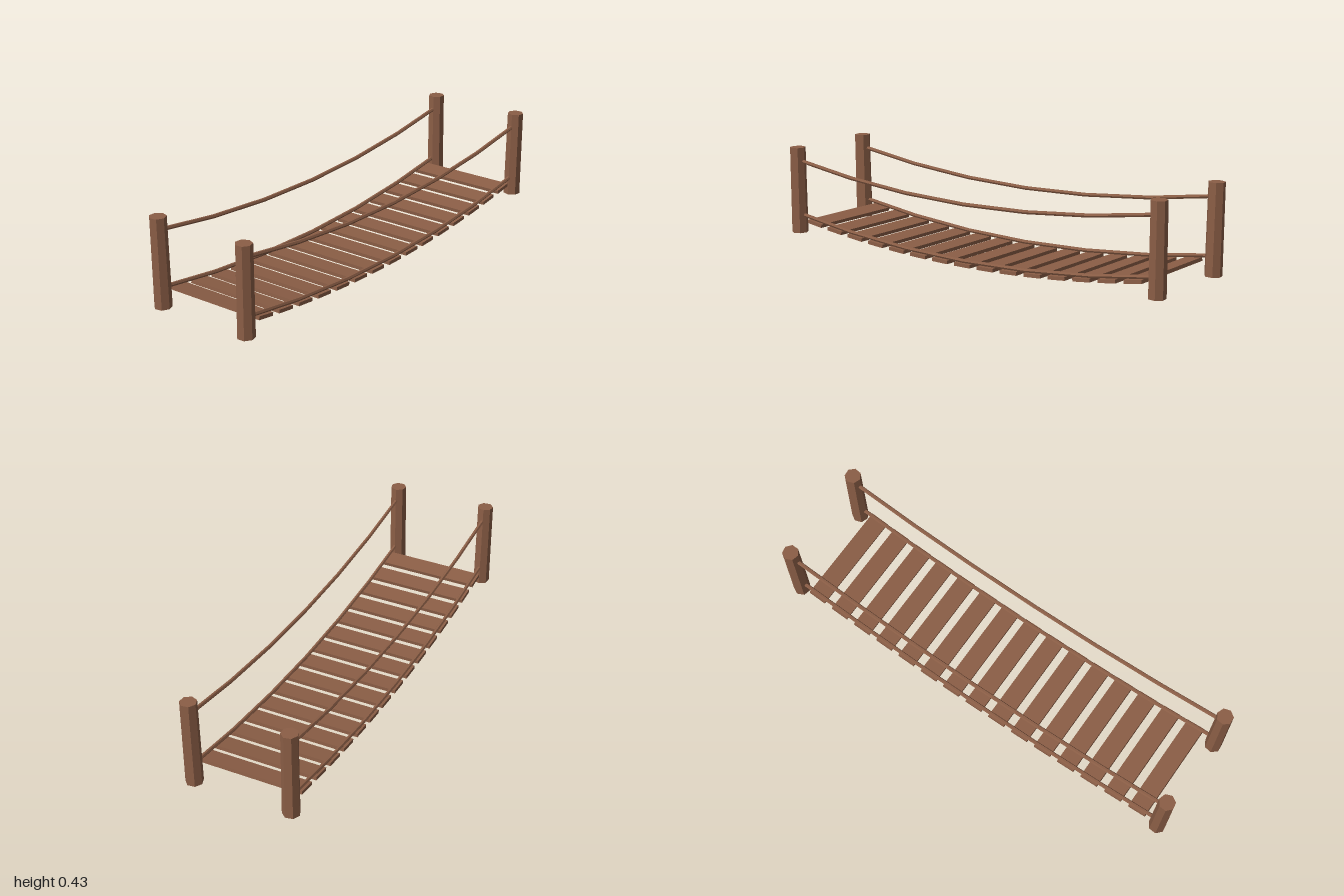
import * as THREE from 'three';

const HALF_LENGTH = 0.985;
const HALF_WIDTH = 0.227;

// Height and slope of a hanging rope along the bridge
const sag = (z, low, rise) => low + rise * (z / HALF_LENGTH) ** 2;
const slope = (z, rise) => (2 * rise * z) / HALF_LENGTH ** 2;

export function createModel() {
  const wood = new THREE.MeshStandardMaterial({ color: 0x8b5e46, flatShading: true });
  wood.name = 'brown wood';

  const model = new THREE.Group();
  model.name = 'ropeBridge';
  // The bridge runs diagonally across the ground
  const bridge = new THREE.Group();
  bridge.name = 'bridge';
  bridge.rotation.y = -0.551;
  model.add(bridge);

  const add = (name, geometry) => {
    const mesh = new THREE.Mesh(geometry, wood);
    mesh.name = name;
    bridge.add(mesh);
    return mesh;
  };

  // Four corner posts, each turned a little differently
  const postGeometry = new THREE.CylinderGeometry(0.037, 0.039, 0.405, 7);
  let turn = 0.2;
  for (const x of [-HALF_WIDTH, HALF_WIDTH]) {
    for (const z of [-HALF_LENGTH, HALF_LENGTH]) {
      const post = add('post', postGeometry);
      post.position.set(x, 0.222, z);
      post.rotation.set(0.01 * Math.sign(z), turn, 0.008);
      turn += 1.3;
    }
  }

  // Handrail ropes and deck ropes, in six straight runs
  const ropes = [
    { name: 'handrailRope', low: 0.277, rise: 0.086 },
    { name: 'deckRope', low: 0.025, rise: 0.083 },
  ];
  for (const { name, low, rise } of ropes) {
    for (const x of [-HALF_WIDTH, HALF_WIDTH]) {
      const path = new THREE.CurvePath();
      const points = [];
      for (let i = 0; i <= 6; i++) {
        const z = HALF_LENGTH * (i / 3 - 1);
        points.push(new THREE.Vector3(x, sag(z, low, rise), z));
      }
      for (let i = 0; i < 6; i++) path.add(new THREE.LineCurve3(points[i], points[i + 1]));
      add(name, new THREE.TubeGeometry(path, 6, 0.009, 6, false));
    }
  }

  // Planks resting under the deck ropes and following their sag
  const plankGeometry = new THREE.BoxGeometry(0.482, 0.016, 0.086);
  for (let i = -7; i <= 7; i++) {
    const z = i * 0.1253;
    const plank = add('plank', plankGeometry);
    plank.position.set(0, sag(z, 0.008, 0.083), z);
    plank.rotation.x = -Math.atan(slope(z, 0.083));
  }

  return model;
}
